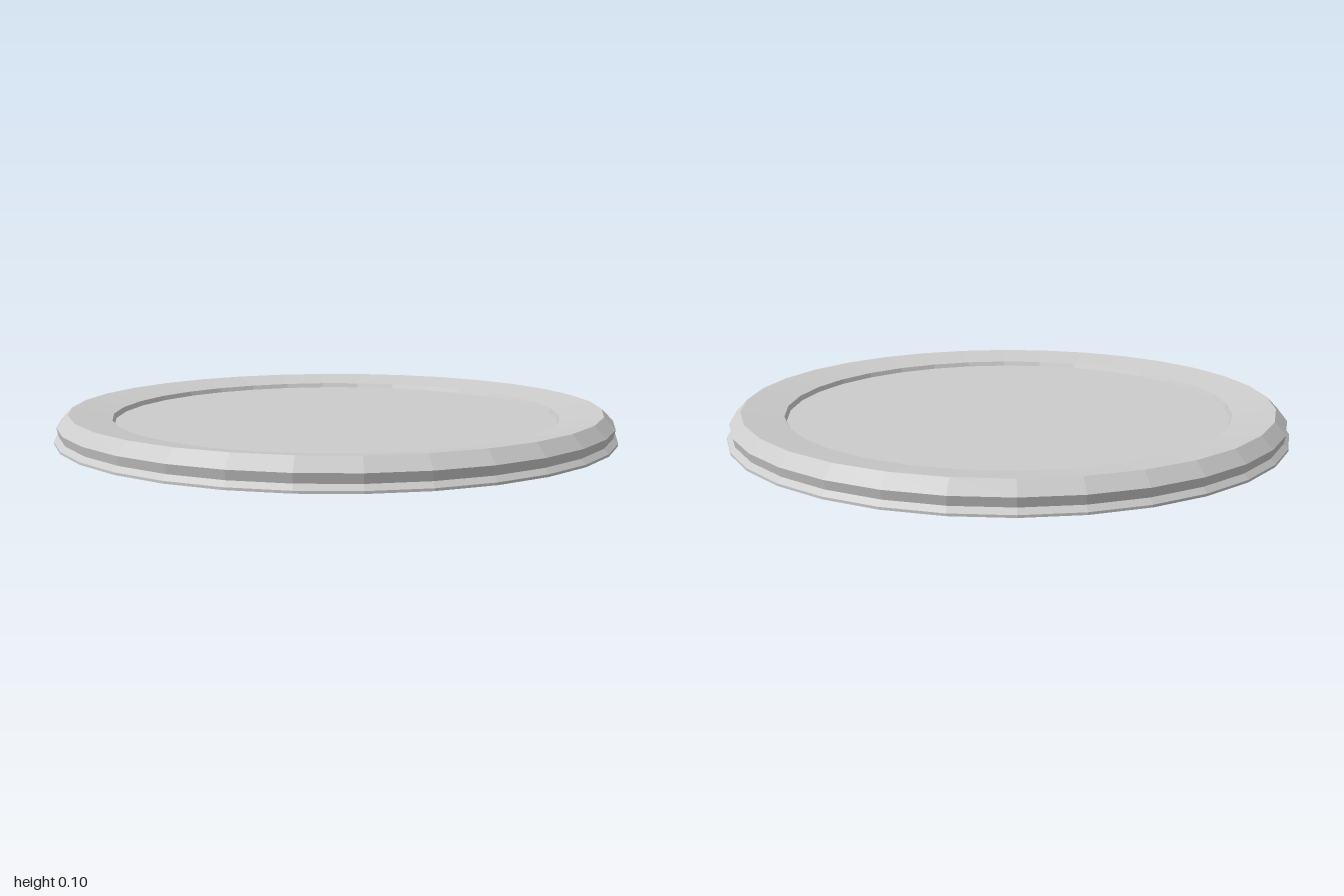
import * as THREE from 'three';

const SIDES = 32;

// Turned part from [radius, height] pairs, listed from the underside outwards and up
function turned(name, profile) {
  const points = profile.map(([r, y]) => new THREE.Vector2(r, y));
  const material = new THREE.MeshStandardMaterial({ color: 0xcccccc, flatShading: true });
  const mesh = new THREE.Mesh(new THREE.LatheGeometry(points, SIDES), material);
  mesh.name = name;
  return mesh;
}

export function createModel() {
  const group = new THREE.Group();
  group.name = 'shallowDish';

  // Flat underside, foot lip, shallow groove, bevelled edge and inward-sloping rim
  group.add(turned('rimAndBase', [
    [0, 0], [1, 0], [1, 0.008],
    [0.983, 0.024], [0.99, 0.055],
    [0.95, 0.096], [0.802, 0.072], [0.795, 0.055],
  ]));

  // Recessed floor inside the rim
  group.add(turned('floor', [[0.795, 0.055], [0, 0.055]]));

  return group;
}
